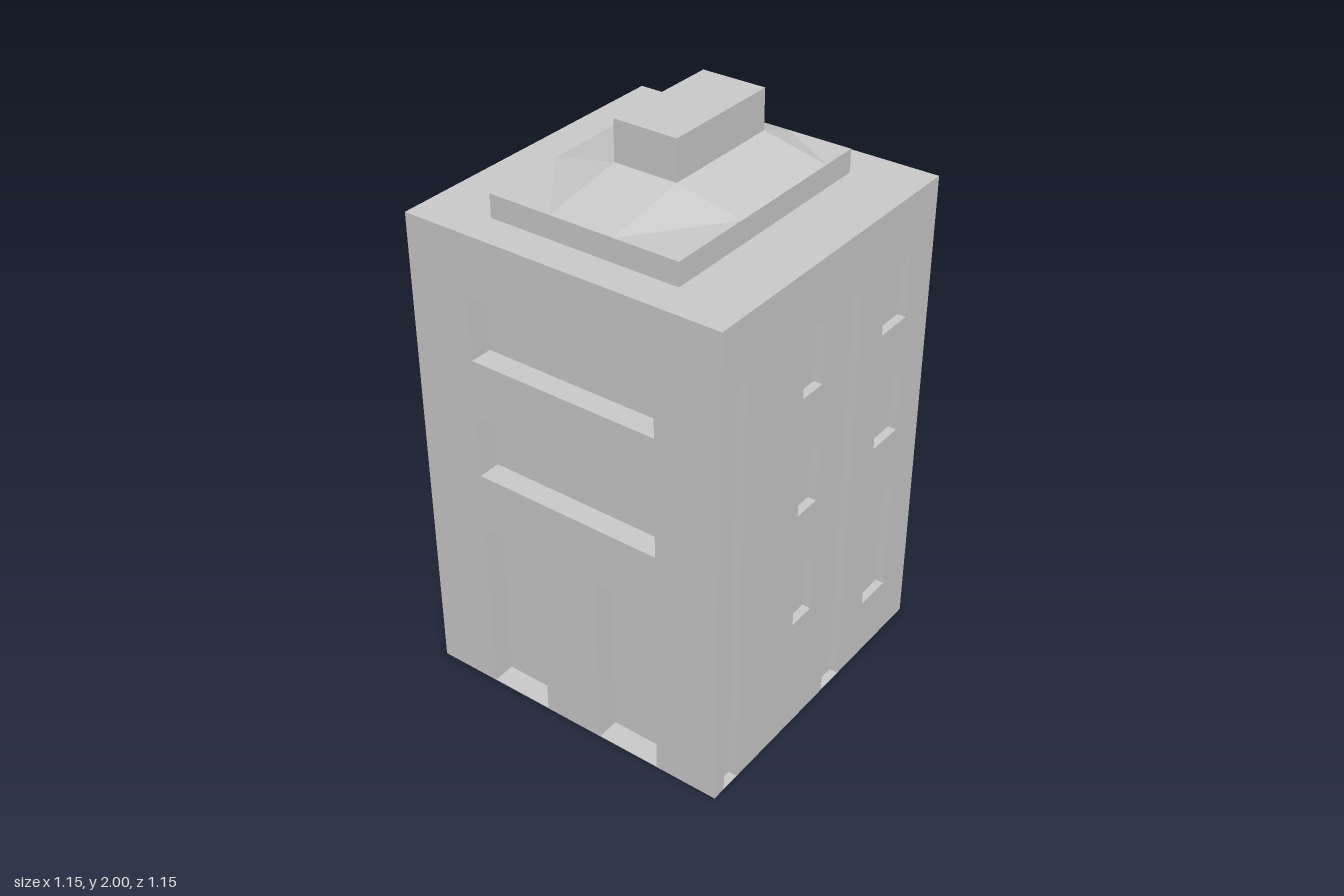
import * as THREE from 'three';

const material = new THREE.MeshStandardMaterial({ color: 0xcccccc, flatShading: true });

const HALF = 0.575; // half width of the square plan
const HEIGHT = 1.73; // top of the walls
const SHALLOW = 0.03; // recess depth, front and back
const DEEP = 0.08; // recess depth, both sides
const SILL = 0.003; // floor of openings that reach the ground

// Storeys as [bottom, top]
const TOP = [1.295, 1.515];
const UPPER = [0.865, 1.085];
const LOWER = [0.43, 0.65];
const GROUND = [SILL, 0.22];

function addMesh(parent, name, geometry, x = 0, y = 0, z = 0) {
  const mesh = new THREE.Mesh(geometry, material);
  mesh.name = name;
  mesh.position.set(x, y, z);
  parent.add(mesh);
  return mesh;
}

// Box given by its limits
function addBlock(parent, name, [x0, x1], [y0, y1], [z0, z1]) {
  const geometry = new THREE.BoxGeometry(x1 - x0, y1 - y0, z1 - z0);
  return addMesh(parent, name, geometry, (x0 + x1) / 2, (y0 + y1) / 2, (z0 + z1) / 2);
}

function rectangle(target, u0, u1, v0, v1) {
  target.moveTo(u0, v0).lineTo(u1, v0).lineTo(u1, v1).lineTo(u0, v1).closePath();
  return target;
}

// Wall slab with openings [u0, u1, [bottom, top]], turned to face outwards
function addWall(parent, name, halfWidth, depth, turn, openings) {
  const shape = rectangle(new THREE.Shape(), -halfWidth, halfWidth, 0, HEIGHT);
  for (const [u0, u1, [v0, v1]] of openings) {
    shape.holes.push(rectangle(new THREE.Path(), u0, u1, v0, v1));
  }
  const geometry = new THREE.ExtrudeGeometry(shape, { depth, bevelEnabled: false });
  geometry.translate(0, 0, HALF - depth);
  geometry.rotateY(turn);
  addMesh(parent, name, geometry);
}

// Low roof: an octagonal eave rising to a rectangular ridge
function roofGeometry([x0, x1], [z0, z1], [ix0, ix1], [iz0, iz1], y0, y1) {
  const eave = [
    [x1, iz1], [x1, iz0], [ix1, z0], [ix0, z0],
    [x0, iz0], [x0, iz1], [ix0, z1], [ix1, z1],
  ];
  const low = eave.map(([x, z]) => [x, y0, z]);
  const high = eave.map(([x, z]) => [
    THREE.MathUtils.clamp(x, ix0, ix1), y1, THREE.MathUtils.clamp(z, iz0, iz1),
  ]);
  const positions = [];
  for (let i = 0; i < 8; i++) {
    const j = (i + 1) % 8;
    positions.push(...low[i], ...low[j], ...high[j]);
    // Corner facets are single triangles
    if (i % 2 === 0) positions.push(...low[i], ...high[j], ...high[i]);
  }
  const geometry = new THREE.BufferGeometry();
  geometry.setAttribute('position', new THREE.Float32BufferAttribute(positions, 3));
  geometry.computeVertexNormals();
  return geometry;
}

export function createModel() {
  const building = new THREE.Group();
  building.name = 'building';

  // Solid core, forming the back of every recess
  const coreX = HALF - DEEP;
  const coreZ = HALF - SHALLOW;
  addBlock(building, 'core', [-coreX, coreX], [0, HEIGHT], [-coreZ, coreZ]);

  // Front: two tall slots and two window columns
  addWall(building, 'frontWall', HALF, SHALLOW, 0, [
    [-0.525, -0.455, [SILL, 1.515]],
    [0.048, 0.15, [SILL, 1.515]],
    ...[TOP, UPPER, LOWER].map((row) => [-0.155, -0.052, row]),
    ...[TOP, UPPER, [0.215, 0.65]].map((row) => [0.29, 0.432, row]),
  ]);

  // Back: windows in two storeys above one long band
  addWall(building, 'backWall', HALF, SHALLOW, Math.PI, [
    ...[TOP, UPPER].flatMap((row) => [[-0.432, -0.293, row], [0.153, 0.452, row]]),
    [-0.153, 0.052, TOP],
    [-0.153, -0.052, UPPER],
    [-0.432, 0.452, LOWER],
  ]);

  // Sides: paired openings and full-width bands
  const pair = (row) => [[-0.345, -0.112, row], [0.112, 0.345, row]];
  const band = (row) => [-0.345, 0.345, row];
  addWall(building, 'leftWall', coreZ, DEEP, Math.PI / 2, [
    ...pair(TOP), band(UPPER), ...pair(LOWER), ...pair(GROUND),
  ]);
  addWall(building, 'rightWall', coreZ, DEEP, -Math.PI / 2, [
    band(TOP), band(UPPER), ...pair([SILL, 0.65]),
  ]);

  // Roof slab, faceted cap and rooftop block
  const slabX = [-0.452, 0.432];
  const slabZ = [-0.345, 0.342];
  const blockX = [-0.153, 0.293];
  const blockZ = [-0.117, 0.113];
  addBlock(building, 'roofSlab', slabX, [HEIGHT, 1.81], slabZ);
  addMesh(building, 'roofCap', roofGeometry(slabX, slabZ, blockX, blockZ, 1.81, 1.86));
  addBlock(building, 'rooftopBlock', blockX, [1.81, 2], blockZ);

  return building;
}
